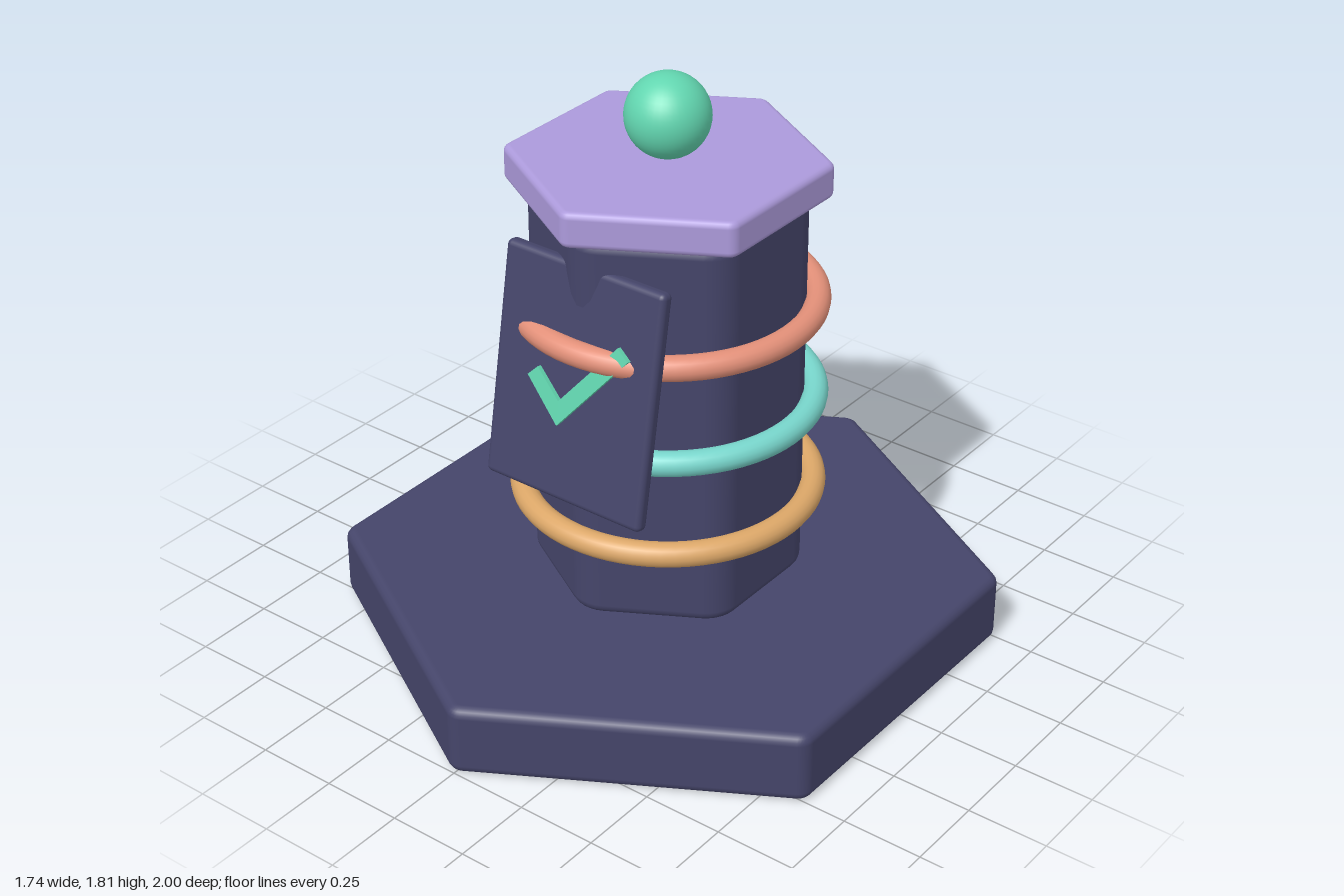
import * as THREE from 'three';
import { RoundedBoxGeometry } from 'three/addons/geometries/RoundedBoxGeometry.js';

const mat = (name, color) => new THREE.MeshStandardMaterial({ name, color });

// Hexagonal prism, corners on +z and -z, with rounded upright edges and rims.
// inner: half width across flats, edge: radius of upright edges, rim: radius of rims
function roundedHexPrism(inner, y0, y1, edge, rim) {
  const pos = [], nor = [], idx = [];
  const steps = 5, rimSteps = 4, cols = 6 * (steps + 1);
  const cornerR = (inner - edge) / Math.cos(Math.PI / 6);
  const rows = [];
  for (let i = 0; i <= rimSteps; i++) rows.push([y0 + rim, (i / rimSteps - 1) * Math.PI / 2]);
  for (let i = 0; i <= rimSteps; i++) rows.push([y1 - rim, (i / rimSteps) * Math.PI / 2]);

  for (const [cy, lat] of rows) {
    for (let c = 0; c < 6; c++) {
      const a = c * Math.PI / 3;
      for (let s = 0; s <= steps; s++) {
        const b = a + (s / steps - 0.5) * Math.PI / 3;
        const out = edge - rim + rim * Math.cos(lat);
        pos.push(Math.sin(a) * cornerR + Math.sin(b) * out,
          cy + rim * Math.sin(lat),
          Math.cos(a) * cornerR + Math.cos(b) * out);
        nor.push(Math.sin(b) * Math.cos(lat), Math.sin(lat), Math.cos(b) * Math.cos(lat));
      }
    }
  }
  for (let r = 0; r < rows.length - 1; r++) {
    for (let c = 0; c < cols; c++) {
      const a = r * cols + c, b = r * cols + (c + 1) % cols;
      idx.push(a, b, b + cols, a, b + cols, a + cols);
    }
  }
  // flat bottom and top
  const centre = pos.length / 3, last = (rows.length - 1) * cols;
  pos.push(0, y0, 0, 0, y1, 0);
  nor.push(0, -1, 0, 0, 1, 0);
  for (let c = 0; c < cols; c++) {
    const n = (c + 1) % cols;
    idx.push(centre, n, c, centre + 1, last + c, last + n);
  }
  const g = new THREE.BufferGeometry();
  g.setAttribute('position', new THREE.Float32BufferAttribute(pos, 3));
  g.setAttribute('normal', new THREE.Float32BufferAttribute(nor, 3));
  g.setIndex(idx);
  return g;
}

export function createModel() {
  const model = new THREE.Group();
  model.name = 'hexagonalTower';
  const navy = mat('navy', 0x45456a);
  const lilac = mat('lilac', 0xac9adb);
  const green = mat('green', 0x62d6b0);
  const coral = mat('coral', 0xe39079);
  const teal = mat('teal', 0x78d6cc);
  const ochre = mat('ochre', 0xdca768);

  const add = (name, geometry, material, parent = model) => {
    const mesh = new THREE.Mesh(geometry, material);
    mesh.name = name;
    parent.add(mesh);
    return mesh;
  };

  // stacked hexagonal parts and the ball on top
  add('base', roundedHexPrism(0.872, 0, 0.225, 0.05, 0.03), navy);
  add('column', roundedHexPrism(0.3625, 0.225, 1.46, 0.11, 0.035), navy);
  add('cap', roundedHexPrism(0.41, 1.46, 1.57, 0.036, 0.02), lilac);
  add('ball', new THREE.SphereGeometry(0.125, 40, 24), green).position.y = 1.688;

  // rings around the column
  for (const [name, y, material] of [
    ['upperRing', 1.122, coral], ['middleRing', 0.812, teal], ['lowerRing', 0.505, ochre]]) {
    const ring = add(name, new THREE.TorusGeometry(0.434, 0.038, 16, 72), material);
    ring.rotation.x = Math.PI / 2;
    ring.position.y = y;
  }

  // leaning front panel with a raised tick
  const panel = new THREE.Group();
  panel.name = 'frontPanel';
  panel.position.set(0, 1.0125, 0.42);
  panel.rotation.x = -Math.PI / 18;
  model.add(panel);
  add('panelBoard', new RoundedBoxGeometry(0.56, 0.718, 0.046, 3, 0.018), navy, panel);

  const tick = new THREE.Shape([
    [-0.148, -0.008], [-0.03, -0.128], [0.192, 0.138],
    [0.153, 0.168], [-0.032, -0.053], [-0.115, 0.026],
  ].map(([x, y]) => new THREE.Vector2(x, y)));
  const tickMesh = add('tick',
    new THREE.ExtrudeGeometry(tick, { depth: 0.016, bevelEnabled: false }), green, panel);
  tickMesh.position.z = 0.021;
  return model;
}
